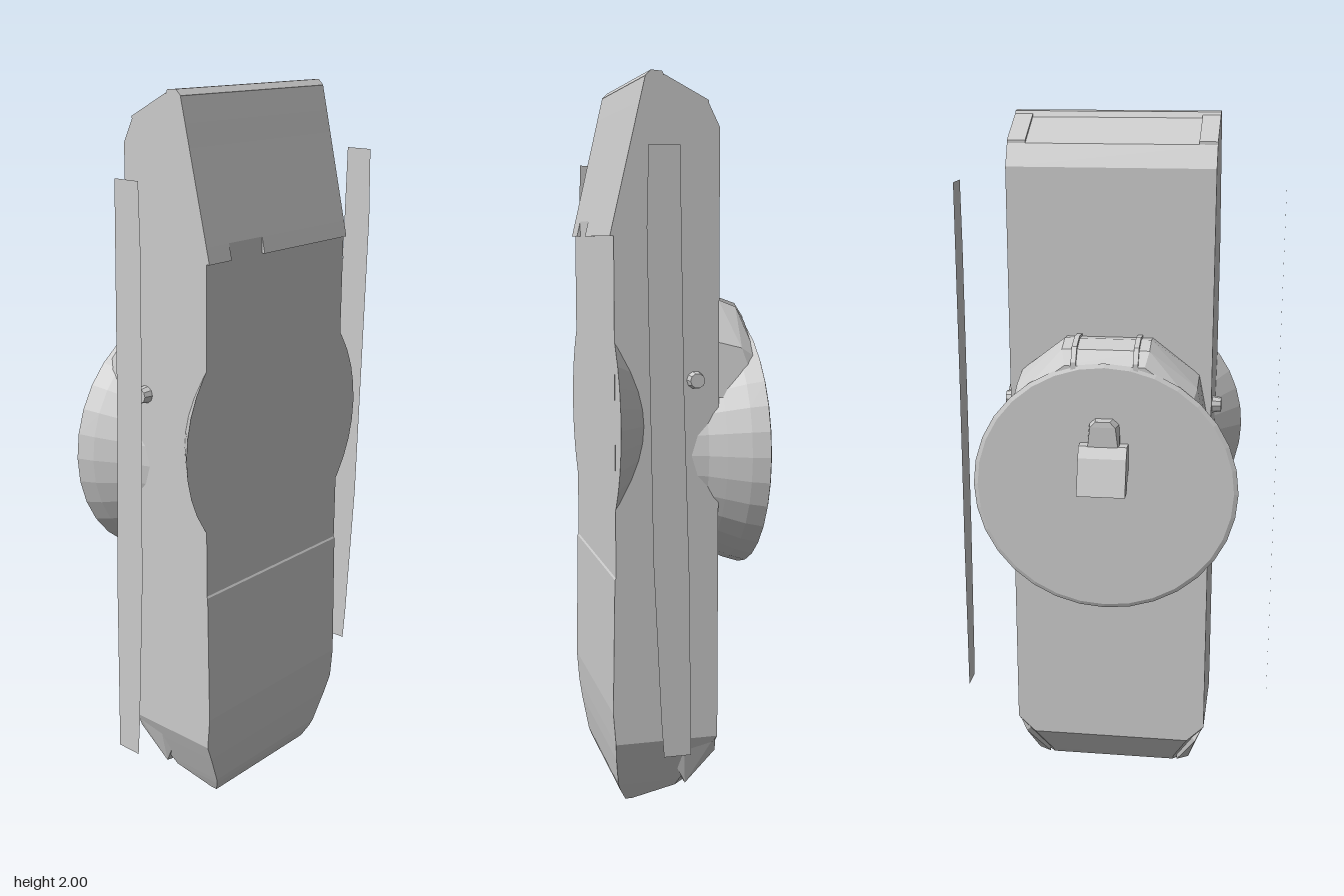
import * as THREE from 'three';
import { ConvexGeometry } from 'three/addons/geometries/ConvexGeometry.js';

const material = new THREE.MeshStandardMaterial({ color: 0xcccccc, flatShading: true });
const thin = new THREE.MeshStandardMaterial({ color: 0xcccccc, flatShading: true, side: THREE.DoubleSide });

function add(group, name, geometry, x = 0, y = 0, z = 0, mat = material) {
  const mesh = new THREE.Mesh(geometry, mat);
  mesh.name = name;
  mesh.position.set(x, y, z);
  group.add(mesh);
  return mesh;
}

// Side outline of [z, y] points swept across x from x0 to x1
function sweep(points, x0, x1) {
  const shape = new THREE.Shape(points.map(([z, y]) => new THREE.Vector2(-z, y)));
  return new THREE.ExtrudeGeometry(shape, { depth: x1 - x0, bevelEnabled: false })
    .rotateY(Math.PI / 2).translate(x0, 0, 0);
}

// Loft of rings [y, halfWidth, zFront, zBack, backCornerCut]
function loft(rings) {
  const pos = [], idx = [], n = 6;
  for (const [y, w, f, b, c] of rings) {
    pos.push(w, y, f, w, y, b + c, w - c, y, b, c - w, y, b, -w, y, b + c, -w, y, f);
  }
  for (let i = 0; i < rings.length - 1; i++) {
    for (let j = 0; j < n; j++) {
      const a = i * n + j, b = i * n + (j + 1) % n;
      idx.push(a, b, b + n, a, b + n, a + n);
    }
  }
  const top = (rings.length - 1) * n;
  for (let j = 1; j < n - 1; j++) idx.push(0, j + 1, j, top, top + j, top + j + 1);
  const g = new THREE.BufferGeometry();
  g.setAttribute('position', new THREE.Float32BufferAttribute(pos, 3));
  g.setIndex(idx);
  g.computeVertexNormals();
  return g;
}

const hull = (pts) => new ConvexGeometry(pts.map((p) => new THREE.Vector3(...p)));

export function createModel() {
  const g = new THREE.Group();

  // Tall casing, tapered at the foot and sloped at the head
  add(g, 'casing', loft([
    [0.005, 0.2, 0.2, 0.18, 0],
    [0.04, 0.217, 0.218, 0.03, 0.03],
    [0.06, 0.226, 0.225, 0.015, 0.035],
    [0.15, 0.264, 0.238, -0.045, 0.03],
    [0.2, 0.285, 0.243, -0.045, 0],
    [0.29, 0.285, 0.25, -0.045, 0],
    [0.665, 0.285, 0.243, -0.045, 0],
    [0.67, 0.285, 0.24, -0.045, 0],
    [1.58, 0.285, 0.24, -0.045, 0],
    [1.623, 0.285, 0.24, -0.045, 0],
    [1.86, 0.285, 0.184, -0.045, 0],
    [1.92, 0.285, 0.17, -0.015, 0],
    [1.983, 0.285, 0.155, 0.105, 0],
    [1.992, 0.285, 0.148, 0.115, 0],
  ]));

  // Lip under the sloped head plate, broken by a finger notch
  const lip = [[0.23, 1.58], [0.25, 1.58], [0.24, 1.623], [0.23, 1.623]];
  add(g, 'headLip', sweep(lip, -0.285, -0.2));
  add(g, 'headLip', sweep(lip, -0.07, 0.285));

  // Raised rim around the panel on the head
  const rail = [[-0.015, 1.915], [-0.015, 1.928], [0.105, 1.99], [0.105, 1.975]];
  add(g, 'headRail', sweep(rail, 0.235, 0.285));
  add(g, 'headRail', sweep(rail, -0.285, -0.235));
  add(g, 'headRidge', sweep([[0.1, 1.975], [0.11, 1.998], [0.14, 2], [0.155, 1.985], [0.15, 1.97]], -0.285, 0.285));

  // Flared disc, flush with the front, showing as an ear on each side
  add(g, 'frontFlare', new THREE.CylinderGeometry(0.362, 0.285, 0.078, 40).rotateX(Math.PI / 2), 0, 1.08, 0.2005);

  // Round bowl on the back
  const bowl = [[0, -0.172], [0.36, -0.172], [0.372, -0.167], [0.356, -0.12], [0.325, -0.06], [0.3, -0.015], [0.285, 0.03], [0, 0.03]]
    .map((p) => new THREE.Vector2(...p));
  add(g, 'backBowl', new THREE.LatheGeometry(bowl, 32).rotateX(Math.PI / 2), 0, 0.995).scale.y = 0.965;

  // Hood on top of the bowl with two ribs
  const hood = [];
  for (const s of [1, -1]) {
    hood.push([s * 0.12, 1.4, -0.04], [s * 0.12, 1.405, -0.09], [s * 0.12, 1.385, -0.14], [s * 0.11, 1.345, -0.168],
      [s * 0.25, 1.3, -0.04], [s * 0.25, 1.28, -0.12], [s * 0.24, 1.25, -0.168], [s * 0.28, 1.15, -0.04], [s * 0.28, 1.15, -0.16]);
  }
  add(g, 'bowlHood', hull(hood));
  const rib = [[-0.045, 1.36], [-0.045, 1.408], [-0.095, 1.412], [-0.145, 1.394], [-0.17, 1.355], [-0.17, 1.33]];
  for (const x of [0.085, -0.085]) add(g, 'hoodRib', sweep(rib, x - 0.007, x + 0.007));

  // Clip on the back: stud above a flared wedge
  add(g, 'clipWedge', sweep([[-0.165, 1.13], [-0.205, 1.13], [-0.223, 1.1], [-0.253, 1], [-0.21, 1], [-0.19, 1.04], [-0.165, 1.06]], -0.067, 0.067));
  add(g, 'clipStud', hull([1, -1].flatMap((s) => [
    [s * 0.045, 1.1, -0.165], [s * 0.045, 1.1, -0.205], [s * 0.042, 1.185, -0.165], [s * 0.035, 1.185, -0.208],
    [s * 0.025, 1.2, -0.165], [s * 0.02, 1.2, -0.207]])));

  for (const s of [1, -1]) {
    // Side buttons
    add(g, 'sideButton', new THREE.CylinderGeometry(0.02, 0.025, 0.03, 10).rotateZ(-s * Math.PI / 2), s * 0.295, 1.2, 0.02);

    // Small feet at the back lower corners
    add(g, 'cornerFoot', hull([
      [s * 0.28, 0.2, 0.05], [s * 0.283, 0.2, -0.04], [s * 0.26, 0.15, -0.045], [s * 0.245, 0.12, 0.07],
      [s * 0.235, 0.05, 0.035], [s * 0.2, 0.04, 0.03], [s * 0.2, 0.2, 0]]));

    // Thin strips floating beside the casing
    const strip = new THREE.Shape([[0.19, 1.8], [0.11, 1.8], [0.1, 1.2], [0.085, 0.7], [0.08, 0.23], [0.153, 0.23], [0.16, 0.33], [0.18, 0.75], [0.195, 1.6]]
      .map(([z, y]) => new THREE.Vector2(-z, y)));
    add(g, 'sideStrip', new THREE.ShapeGeometry(strip).rotateY(Math.PI / 2), s * 0.47, 0, 0, thin);
  }
  return g;
}
